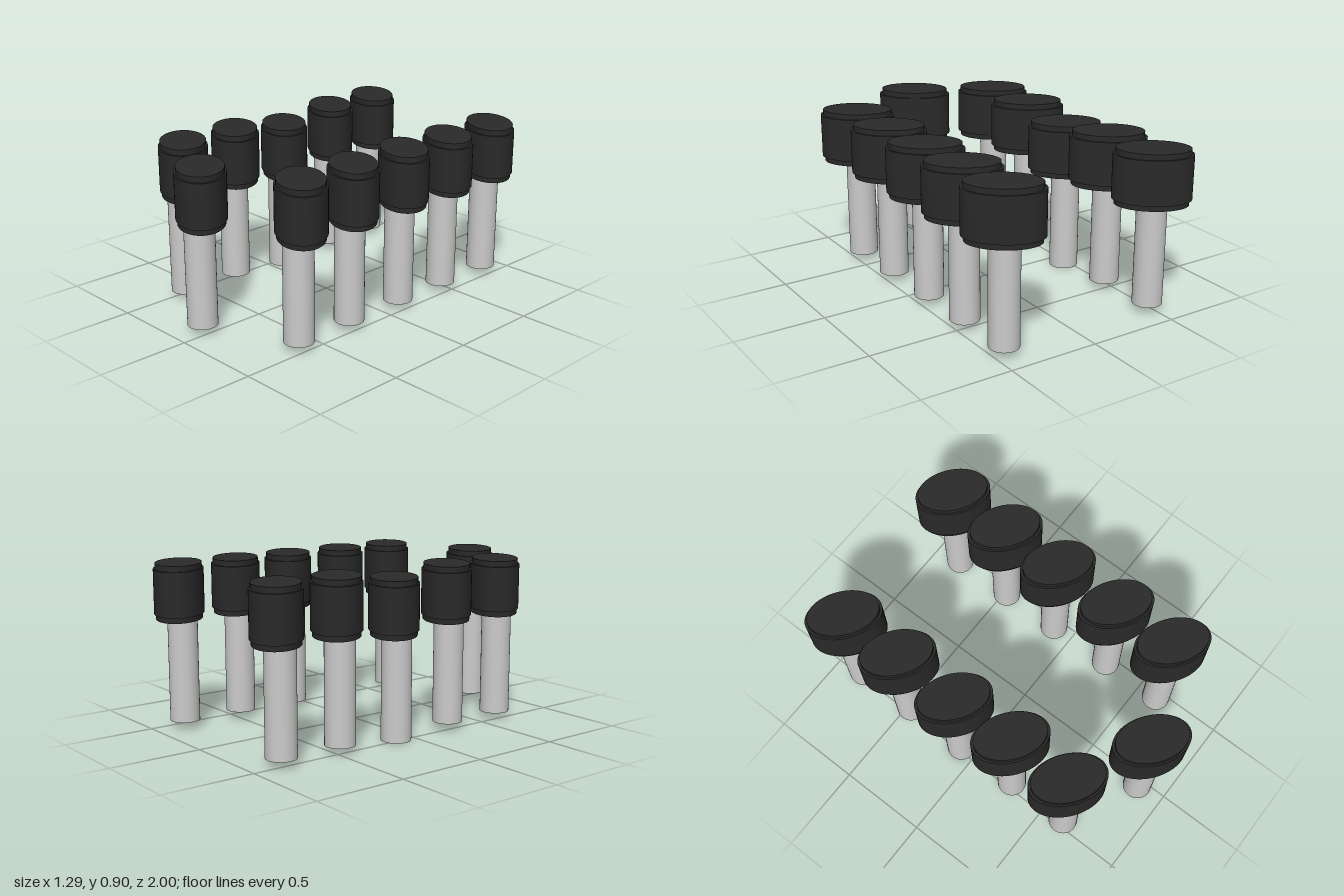
import * as THREE from 'three';
import { toCreasedNormals } from 'three/addons/utils/BufferGeometryUtils.js';

// Unit-radius stepped profile: narrow rim, wide body, narrow rim
const CAP_PROFILE = [
  [0, 0.6], [0.93, 0.6], [0.93, 0.63], [1, 0.63],
  [1, 0.87], [0.93, 0.87], [0.93, 0.9], [0, 0.9],
].map(([r, y]) => new THREE.Vector2(r, y));

// Cap centres [x, z, drop]
const POSTS = [
  // right-hand row, back to front; the middle post sits lower
  [-0.465, -0.836, 0], [-0.463, -0.476, 0], [-0.46, -0.106, 0.04], [-0.456, 0.26, 0], [-0.452, 0.62, 0],
  // left-hand row, back to front
  [0.445, -0.839, 0], [0.447, -0.481, 0], [0.45, -0.127, 0], [0.455, 0.251, 0], [0.46, 0.61, 0],
  // single post at the front
  [-0.034, 0.832, 0],
];

export function createModel() {
  const group = new THREE.Group();
  group.name = 'postArray';

  const capMaterial = new THREE.MeshStandardMaterial({ color: 0x2a2a2a });
  const stemMaterial = new THREE.MeshStandardMaterial({ color: 0xcccccc });

  // Elliptical cap, turned diagonally
  const capGeometry = toCreasedNormals(new THREE.LatheGeometry(CAP_PROFILE, 64), 0.6);
  capGeometry.scale(0.206, 1, 0.132);
  capGeometry.rotateY(THREE.MathUtils.degToRad(-37));

  // Round stem, slightly off the cap's centre
  const stemGeometry = new THREE.CylinderGeometry(0.08, 0.08, 0.56, 48);
  stemGeometry.translate(-0.013, 0.32, 0.009);

  POSTS.forEach(([x, z, drop], i) => {
    const post = new THREE.Group();
    post.name = `post${i + 1}`;
    const cap = new THREE.Mesh(capGeometry, capMaterial);
    cap.name = 'cap';
    const stem = new THREE.Mesh(stemGeometry, stemMaterial);
    stem.name = 'stem';
    post.add(cap, stem);
    post.position.set(x, -drop, z);
    group.add(post);
  });

  return group;
}
